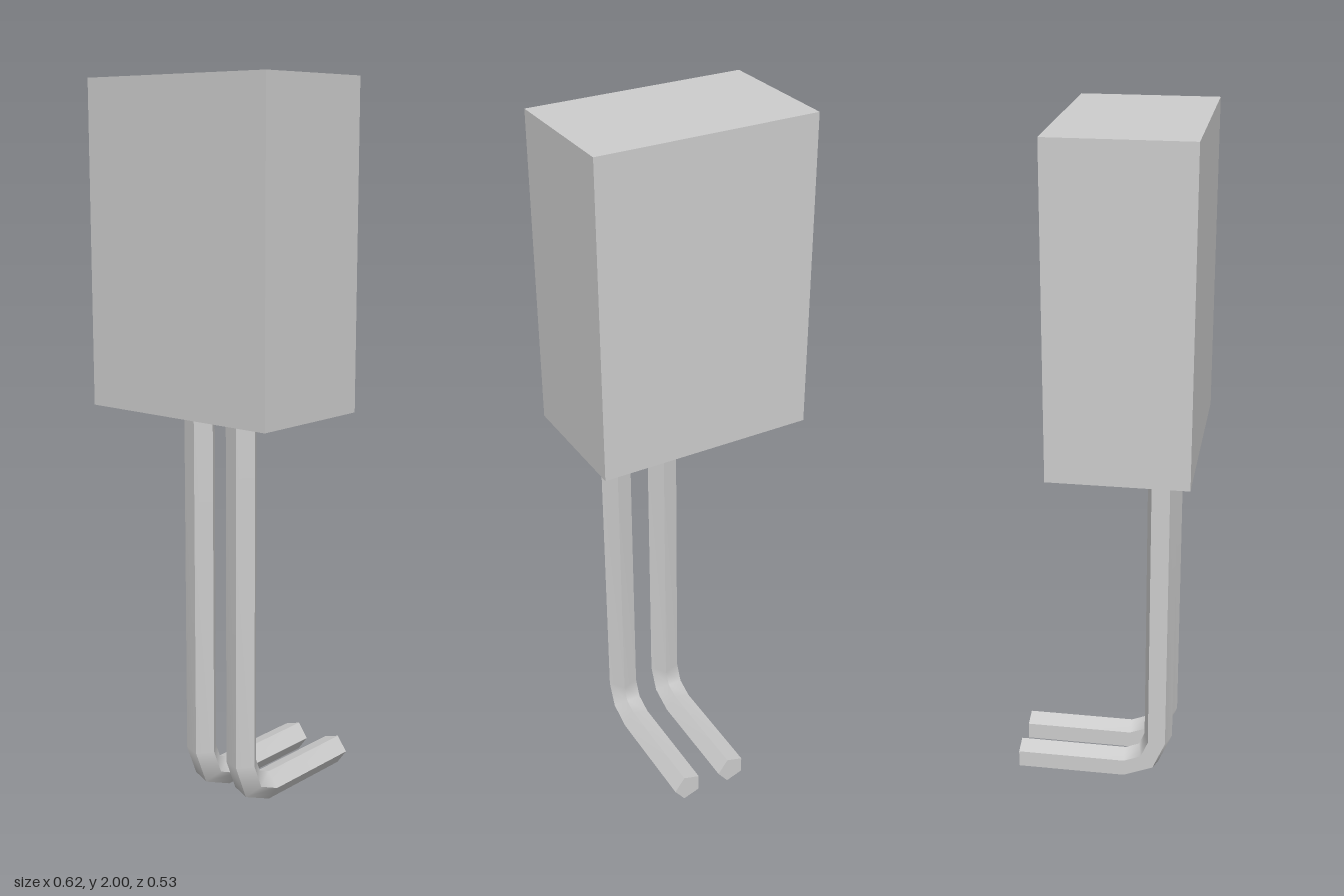
import * as THREE from 'three';

const SIDES = 5, RADIUS = 0.0443;

// Centreline of a pin in the y-z plane: [y, z, tangent angle from straight down towards -z]
const PATH = [[1.116, 0.16, 0]];
for (let i = 0; i <= 2; i++) {
  const a = (i / 2) * (Math.PI / 2);
  PATH.push([0.142 - 0.1 * Math.sin(a), 0.06 + 0.1 * Math.cos(a), a]);
}
PATH.push([0.042, -0.265, Math.PI / 2]);

// Pentagonal section swept along the path; each side is its own strip so long edges stay sharp
function pinGeometry() {
  const pos = [], index = [];
  const corner = (p, k) => {
    const [y, z, a] = p, t = (k / SIDES) * Math.PI * 2;
    const out = RADIUS * Math.sin(t);
    return [RADIUS * Math.cos(t), y - out * Math.sin(a), z + out * Math.cos(a)];
  };
  for (let k = 0; k < SIDES; k++) {
    const base = pos.length / 3;
    PATH.forEach((p, i) => {
      pos.push(...corner(p, k), ...corner(p, k + 1));
      if (i === 0) return;
      const a = base + 2 * i - 2;
      index.push(a, a + 2, a + 1, a + 1, a + 2, a + 3);
    });
  }
  // End caps
  [PATH[0], PATH[PATH.length - 1]].forEach((p, end) => {
    const base = pos.length / 3;
    for (let k = 0; k < SIDES; k++) pos.push(...corner(p, k));
    for (let k = 1; k < SIDES - 1; k++) {
      if (end === 0) index.push(base, base + k + 1, base + k);
      else index.push(base, base + k, base + k + 1);
    }
  });
  // Make every face point outwards
  const g = new THREE.BufferGeometry();
  g.setAttribute('position', new THREE.Float32BufferAttribute(pos, 3));
  const v = (i) => new THREE.Vector3().fromArray(pos, i * 3);
  const [a, b, c] = index.slice(0, 3).map(v);
  const normal = b.clone().sub(a).cross(c.clone().sub(a));
  const outward = a.clone().add(c).multiplyScalar(0.5).sub(new THREE.Vector3(0, a.y, 0.16));
  const sidesFlipped = normal.dot(outward) < 0;
  const sideCount = SIDES * (PATH.length - 1) * 6;
  const capStart = SIDES * PATH.length * 2;
  const capNormal = v(capStart + 2).sub(v(capStart)).cross(v(capStart + 1).sub(v(capStart)));
  const capsFlipped = capNormal.y < 0;
  for (let i = 0; i < index.length; i += 3) {
    if (i < sideCount ? sidesFlipped : capsFlipped) {
      [index[i + 1], index[i + 2]] = [index[i + 2], index[i + 1]];
    }
  }
  g.setIndex(index);
  g.computeVertexNormals();
  return g;
}

export function createModel() {
  const model = new THREE.Group();
  const grey = new THREE.MeshStandardMaterial({ color: 0xcccccc });
  grey.name = 'light grey';

  // Rectangular housing
  const body = new THREE.Mesh(new THREE.BoxGeometry(0.62, 0.885, 0.38), grey);
  body.name = 'body';
  body.position.set(0, 1.5575, 0.075);
  model.add(body);

  // Two bent pins, off to one side of the housing
  const geometry = pinGeometry();
  [['centrePin', -0.005], ['leftPin', 0.145]].forEach(([name, x]) => {
    const pin = new THREE.Mesh(geometry, grey);
    pin.name = name;
    pin.position.x = x;
    model.add(pin);
  });
  return model;
}
